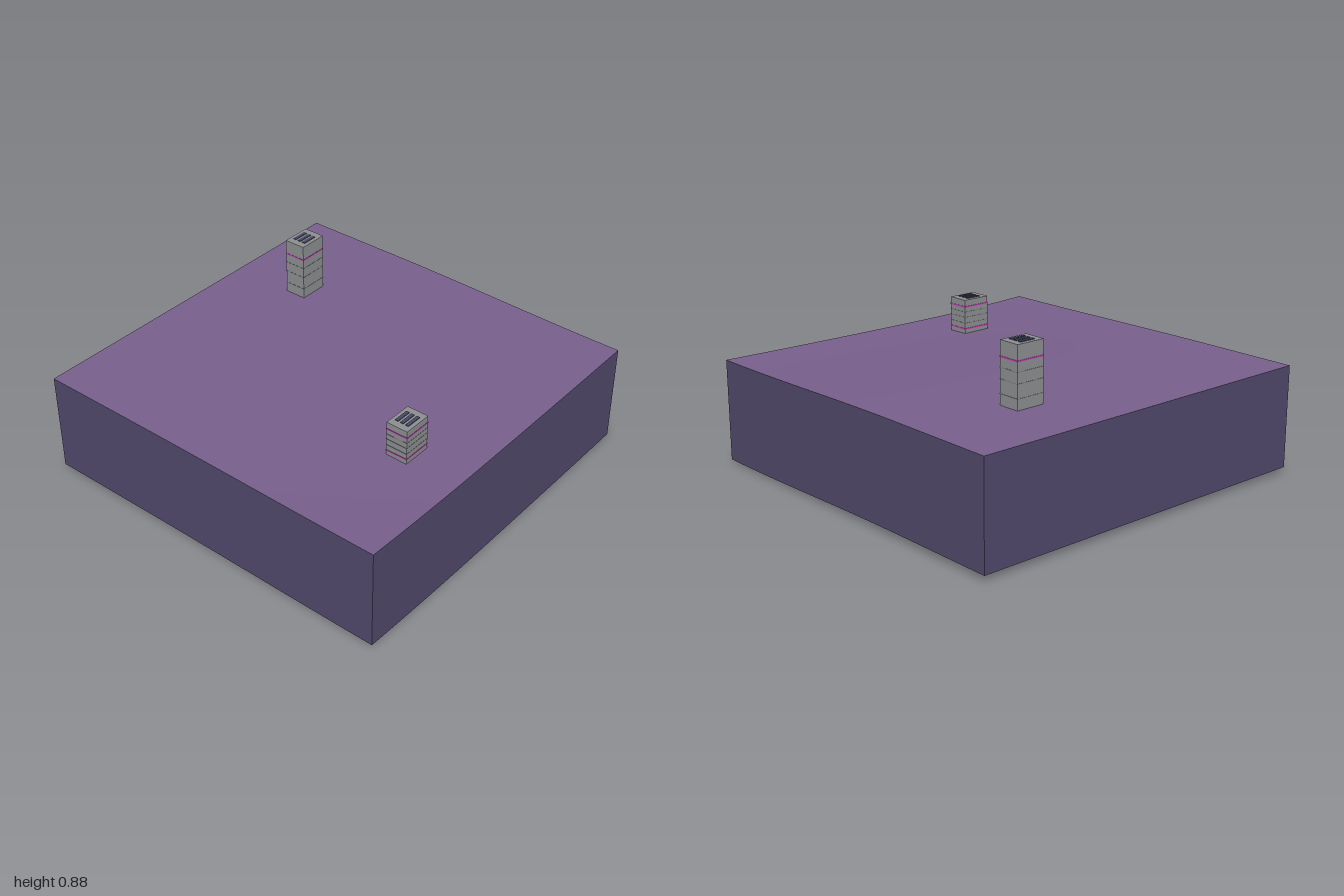
import * as THREE from 'three';

const DEPTH = 0.535; // height of the skirt below the ground surface
const SEGMENTS = 32;

// Gently rolling ground: high on the left, dipping at the middle of the right side
function groundHeight(x, z) {
  const t = THREE.MathUtils.smoothstep(x, -0.4, 0.9);
  const u = z - 0.2;
  const rise = u > 0 ? 0.02 * (u / 0.8) ** 2 : 0.009 * (u / 1.2) ** 2;
  return DEPTH + 0.03 - t * (0.03 - rise);
}

function material(name, color, side = THREE.FrontSide) {
  const m = new THREE.MeshStandardMaterial({ color, side });
  m.name = name;
  return m;
}

function add(parent, name, geometry, mat, x = 0, y = 0, z = 0) {
  const mesh = new THREE.Mesh(geometry, mat);
  mesh.name = name;
  mesh.position.set(x, y, z);
  parent.add(mesh);
  return mesh;
}

// Curved ground surface
function groundGeometry() {
  const g = new THREE.PlaneGeometry(2, 2, SEGMENTS, SEGMENTS).rotateX(-Math.PI / 2);
  const p = g.attributes.position;
  for (let i = 0; i < p.count; i++) p.setY(i, groundHeight(p.getX(i), p.getZ(i)));
  g.computeVertexNormals();
  return g;
}

// One wall of the skirt, following the ground along its top and bottom edges
function skirtGeometry(angle) {
  const g = new THREE.PlaneGeometry(2, DEPTH, SEGMENTS, 1);
  g.translate(0, -DEPTH / 2, 1).rotateY(angle);
  const p = g.attributes.position;
  for (let i = 0; i < p.count; i++) {
    p.setY(i, p.getY(i) + groundHeight(p.getX(i), p.getZ(i)));
  }
  return g;
}

export function createModel() {
  const model = new THREE.Group();
  model.name = 'terrainBlock';
  const purple = material('groundPurple', 0x775f8b, THREE.DoubleSide);
  const indigo = material('skirtIndigo', 0x51486b, THREE.DoubleSide);
  const grey = material('towerGrey', 0x8b8e90);
  const darkGrey = material('seamGrey', 0x707376);
  const magenta = material('stripeMagenta', 0xc232b4);
  const navy = material('ventNavy', 0x474866);

  add(model, 'ground', groundGeometry(), purple);
  ['front', 'left', 'back', 'right'].forEach((side, i) => {
    add(model, side + 'Skirt', skirtGeometry(i * Math.PI / 2), indigo);
  });

  // Towers with floor seams, bright stripes and roof vents
  const W = 0.118, D = 0.158;
  const towers = [
    { name: 'tallTower', x: -0.59, z: -0.42, base: 0.555, top: 0.874,
      seams: [0.62, 0.69, 0.745], stripes: [0.796] },
    { name: 'shortTower', x: 0.665, z: 0.33, base: 0.53, top: 0.723,
      seams: [0.595, 0.628, 0.657], stripes: [0.564, 0.686] },
  ];
  for (const t of towers) {
    const tower = new THREE.Group();
    tower.name = t.name;
    tower.position.set(t.x, 0, t.z);
    model.add(tower);
    add(tower, 'body', new THREE.BoxGeometry(W, t.top - t.base, D), grey, 0, (t.top + t.base) / 2, 0);
    for (const y of t.seams) {
      add(tower, 'floorSeam', new THREE.BoxGeometry(W + 0.002, 0.003, D + 0.002), darkGrey, 0, y, 0);
    }
    for (const y of t.stripes) {
      add(tower, 'stripe', new THREE.BoxGeometry(W + 0.003, 0.007, D + 0.003), magenta, 0, y, 0);
    }
    for (const x of [-0.03, 0, 0.03]) {
      add(tower, 'roofVent', new THREE.BoxGeometry(0.017, 0.006, 0.085), navy, x, t.top + 0.001, 0);
    }
  }
  return model;
}
